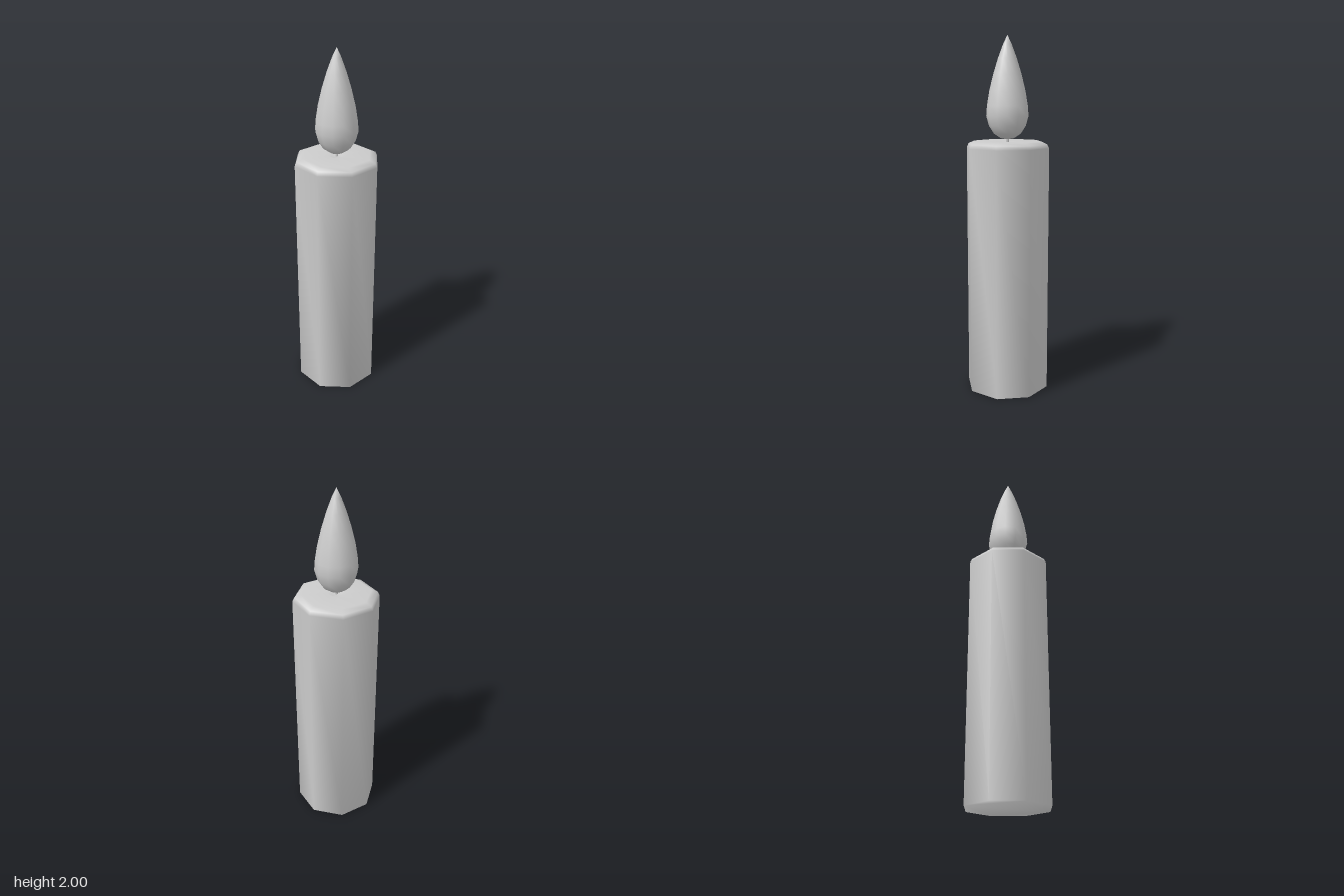
import * as THREE from 'three';
import { mergeGeometries, mergeVertices } from 'three/addons/utils/BufferGeometryUtils.js';

const grey = new THREE.MeshStandardMaterial({ color: 0xcccccc });

// Weld all shared corners and smooth across them
function smooth(geometry) {
  geometry.deleteAttribute('uv');
  geometry.deleteAttribute('normal');
  const welded = mergeVertices(geometry, 1e-4);
  welded.computeVertexNormals();
  return welded;
}

function lathe(profile, sides) {
  return new THREE.LatheGeometry(profile.map(([r, y]) => new THREE.Vector2(r, y)), sides);
}

function part(name, geometry) {
  const mesh = new THREE.Mesh(geometry, grey);
  mesh.name = name;
  return mesh;
}

export function createModel() {
  const group = new THREE.Group();
  group.name = 'candle';

  // Eight-sided wax body with a bevelled rim and a slight dip around the wick
  const radius = 0.237, sides = 8;
  const wall = lathe([
    [radius, 0], [radius, 1.39], [0.226, 1.412], [0.192, 1.427],
    [0.05, 1.424], [0.03, 1.418], [0, 1.418],
  ], sides);

  // Flat underside
  const corners = [];
  for (let i = 0; i < sides; i++) {
    const a = (i / sides) * Math.PI * 2;
    corners.push(new THREE.Vector2(Math.cos(a) * radius, Math.sin(a) * radius));
  }
  const base = new THREE.ShapeGeometry(new THREE.Shape(corners)).rotateX(Math.PI / 2);
  group.add(part('waxBody', smooth(mergeGeometries([wall, base]))));

  // Thin wick
  const wick = new THREE.CylinderGeometry(0.008, 0.008, 0.06, 8);
  wick.translate(0, 1.44, 0);
  group.add(part('wick', wick));

  // Teardrop flame
  const flame = lathe([
    [0, 1.436], [0.038, 1.443], [0.075, 1.468], [0.102, 1.51], [0.117, 1.565],
    [0.113, 1.62], [0.1, 1.7], [0.078, 1.79], [0.052, 1.875], [0.024, 1.95], [0, 2],
  ], 12);
  group.add(part('flame', smooth(flame)));

  return group;
}
